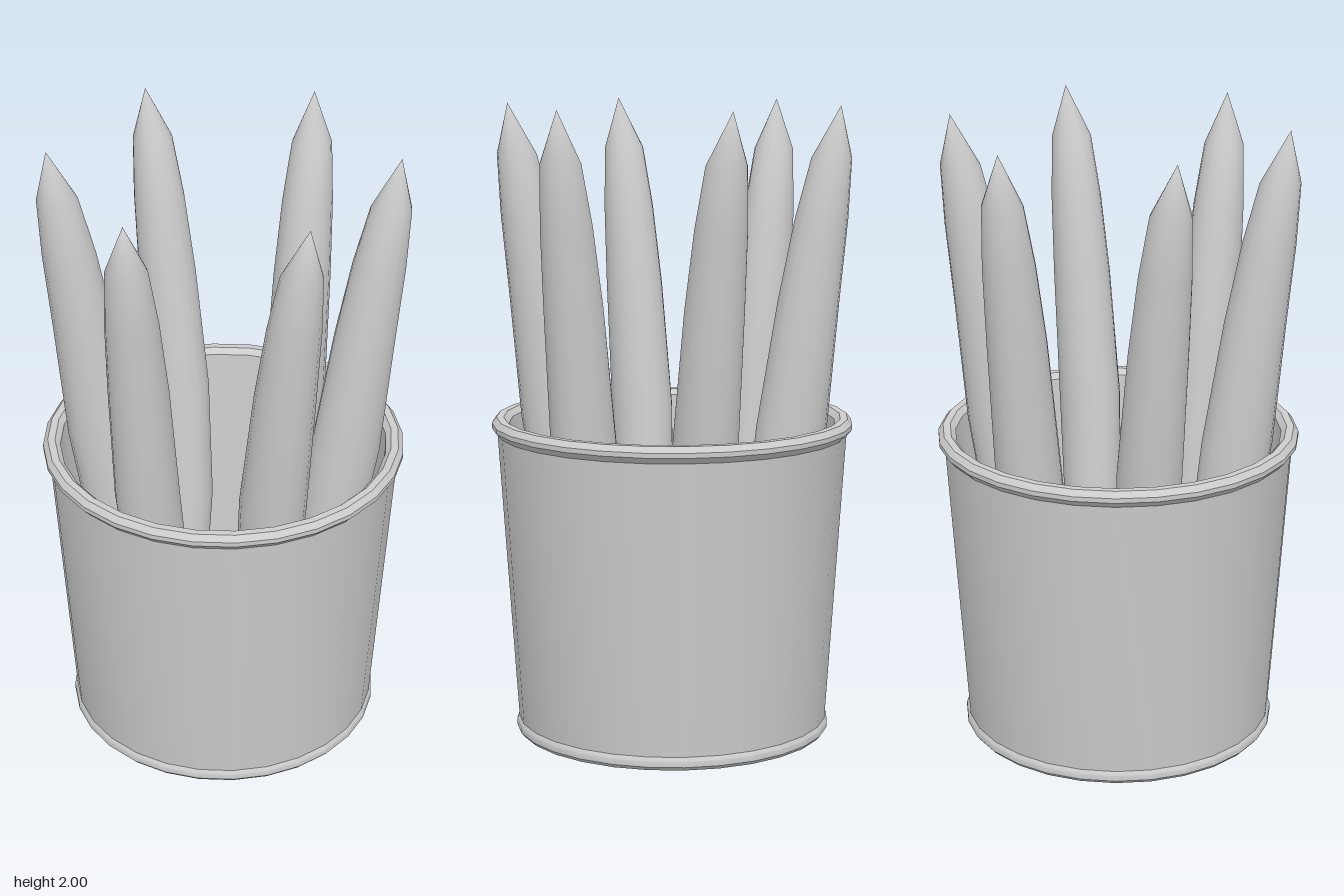
import * as THREE from 'three';
import { mergeVertices, toCreasedNormals } from 'three/addons/utils/BufferGeometryUtils.js';

// Loft of elliptical cross-sections [y, centre x, centre z, x radius, z radius], tip first
function loft(sections, sides) {
  const geometry = new THREE.CylinderGeometry(1, 1, 1, sides, sections.length - 1, true);
  const pos = geometry.attributes.position;
  for (let i = 0; i < pos.count; i++) {
    const [y, cx, cz, rx, rz] = sections[Math.floor(i / (sides + 1))];
    pos.setXYZ(i, cx + pos.getX(i) * rx, y, cz + pos.getZ(i) * rz);
  }
  geometry.deleteAttribute('normal');
  geometry.deleteAttribute('uv');
  const welded = mergeVertices(geometry, 1e-4);
  welded.computeVertexNormals();
  return welded;
}

export function createModel() {
  const group = new THREE.Group();
  const grey = new THREE.MeshStandardMaterial({ color: 0xcccccc });
  grey.name = 'light grey';

  // Hollow tapered pot with a foot bead and a rolled rim
  const profile = [
    [0, 0], [0.493, 0], [0.503, 0.012], [0.503, 0.03], [0.495, 0.042],
    [0.555, 0.965], [0.573, 0.985], [0.573, 1.0], [0.558, 1.018], [0.535, 1.018],
    [0.518, 1.0], [0.515, 0.965], [0.465, 0.04], [0, 0.04],
  ].map(([r, y]) => new THREE.Vector2(r, y));
  const pot = new THREE.Mesh(
    toCreasedNormals(new THREE.LatheGeometry(profile, 28), 0.6), grey);
  pot.name = 'pot';
  group.add(pot);

  // One pointed leaf that leans outward from the pot floor
  const leafGeometry = loft([
    [2.0, -0.095, 0.52, 0, 0],
    [1.84, -0.1, 0.492, 0.063, 0.063],
    [1.65, -0.1, 0.462, 0.08, 0.083],
    [1.4, -0.1, 0.425, 0.091, 0.096],
    [1.0, -0.1, 0.375, 0.098, 0.111],
    [0.6, -0.083, 0.322, 0.094, 0.1],
    [0.3, -0.058, 0.285, 0.073, 0.075],
    [0.04, -0.03, 0.25, 0.045, 0.045],
    [0.04, -0.03, 0.25, 0, 0],
  ], 16);

  // Six leaves in a ring
  const leaves = new THREE.Group();
  leaves.name = 'leaves';
  for (let i = 0; i < 6; i++) {
    const leaf = new THREE.Mesh(leafGeometry, grey);
    leaf.name = `leaf${i + 1}`;
    leaf.rotation.y = (i * Math.PI) / 3;
    leaves.add(leaf);
  }
  group.add(leaves);

  return group;
}
